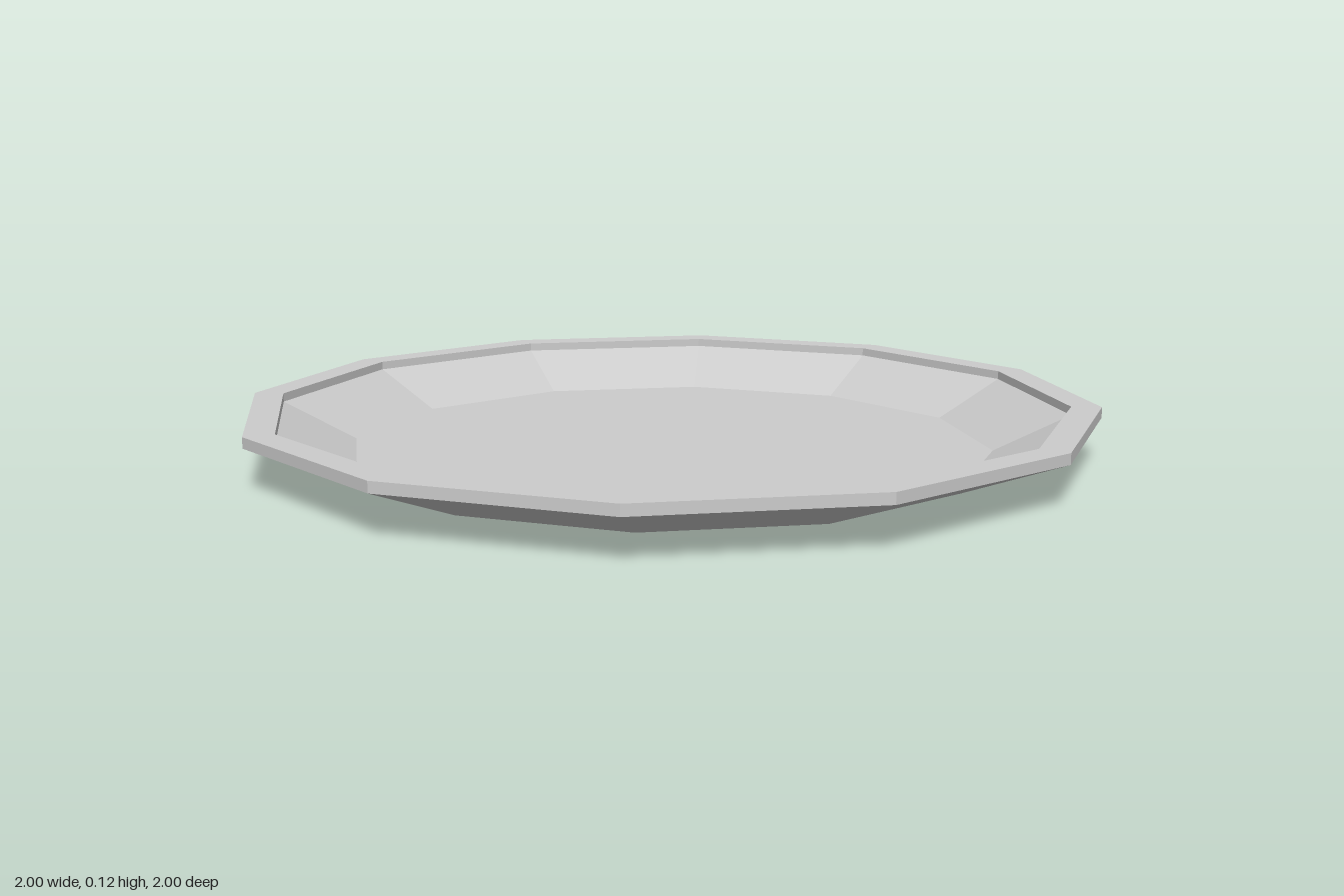
import * as THREE from 'three';

const SIDES = 12;

export function createModel() {
  const group = new THREE.Group();
  group.name = 'plate';
  const material = new THREE.MeshStandardMaterial({ color: 0xcccccc, flatShading: true });

  // Turns a [radius, height] profile into a faceted ring
  const addRing = (name, profile) => {
    const points = profile.map(([r, y]) => new THREE.Vector2(r, y));
    const mesh = new THREE.Mesh(new THREE.LatheGeometry(points, SIDES), material);
    mesh.name = name;
    group.add(mesh);
  };

  // Flat foot and flared outer wall
  addRing('underside', [[0, 0], [0.755, 0], [1, 0.095]]);
  // Flat lip with a short vertical edge on both sides
  addRing('rim', [[1, 0.095], [1, 0.12], [0.93, 0.12], [0.93, 0.1]]);
  // Sloped inner wall and sunken floor
  addRing('dish', [[0.93, 0.1], [0.755, 0.013], [0, 0.013]]);

  return group;
}
